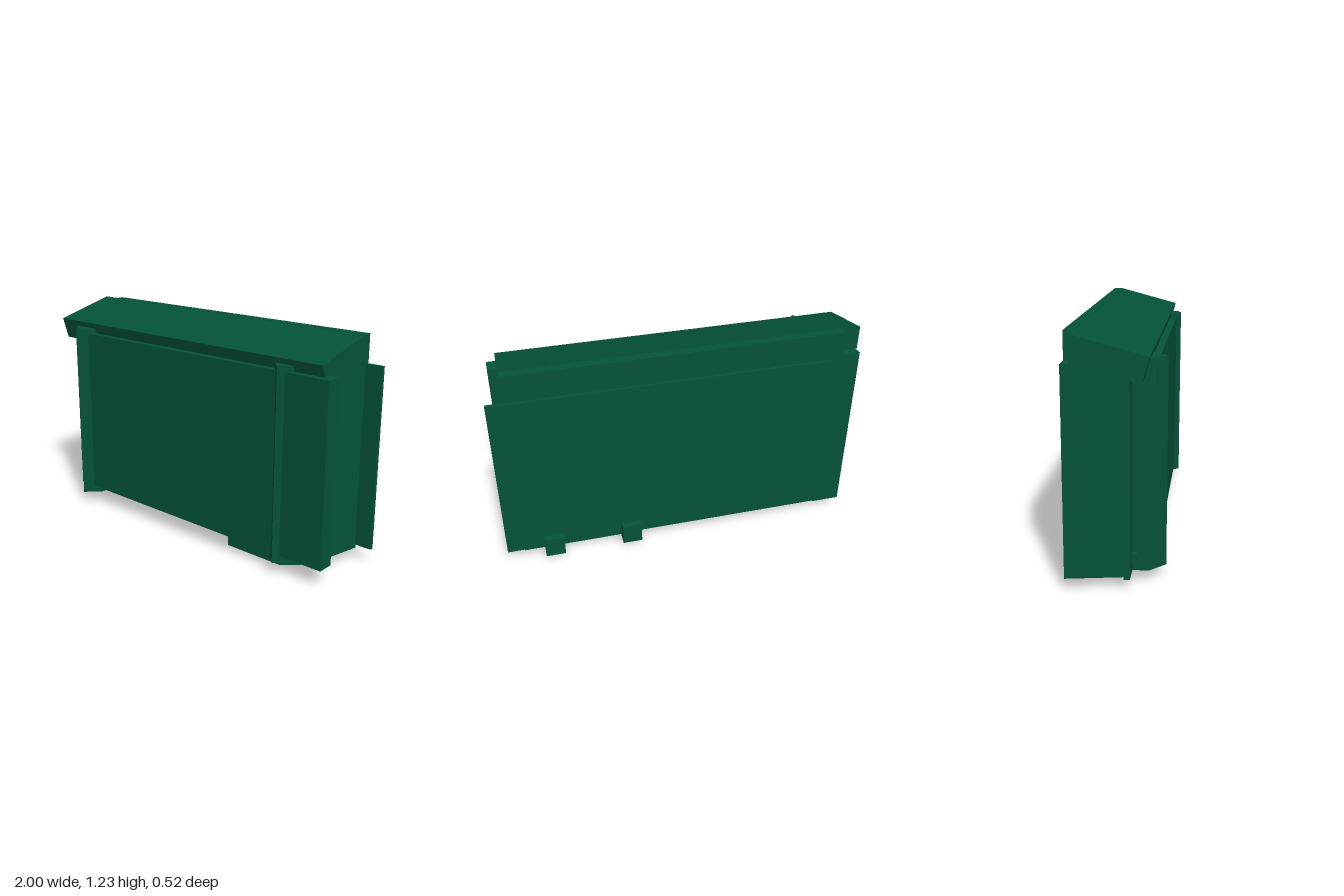
import * as THREE from 'three';

export function createModel() {
  const root = new THREE.Group();
  const green = new THREE.MeshStandardMaterial({ color: 0x04523a });
  green.name = 'darkGreen';

  const add = (name, geo) => {
    const mesh = new THREE.Mesh(geo, green);
    mesh.name = name;
    root.add(mesh);
    return mesh;
  };
  // Box from its limits on each axis
  const box = (name, x0, x1, y0, y1, z0, z1) =>
    add(name, new THREE.BoxGeometry(x1 - x0, y1 - y0, z1 - z0)
      .translate((x0 + x1) / 2, (y0 + y1) / 2, (z0 + z1) / 2));
  // Upright prism from a plan outline of [x, z] points
  const toShape = (pts) => new THREE.Shape(pts.map(([x, z]) => new THREE.Vector2(x, -z)));
  const upright = (name, pts, y0, y1, hole) => {
    const shape = toShape(pts);
    if (hole) shape.holes.push(toShape(hole));
    const geo = new THREE.ExtrudeGeometry(shape, { depth: y1 - y0, bevelEnabled: false });
    return add(name, geo.rotateX(-Math.PI / 2).translate(0, y0, 0));
  };
  // Long prism along x from a side profile of [z, y] points
  const lengthwise = (name, pts, x0, x1) => {
    const shape = new THREE.Shape(pts.map(([z, y]) => new THREE.Vector2(-z, y)));
    const geo = new THREE.ExtrudeGeometry(shape, { depth: x1 - x0, bevelEnabled: false });
    return add(name, geo.rotateY(Math.PI / 2).translate(x0, 0, 0));
  };

  // Body core between two tapering end columns that reach lower
  box('bodyCore', -0.84, 0.72, 0.1, 1.09, -0.21, 0.14);
  upright('rightEndColumn', [[-0.84, -0.21], [-1, -0.21], [-0.95, 0.08], [-0.84, 0.08]], 0.06, 1.09);
  upright('leftEndColumn', [[0.72, -0.21], [0.905, -0.21], [0.85, 0.065], [0.83, 0.1], [0.83, 0.14], [0.72, 0.14]], 0.06, 1.09);
  // Flange beside the front panel
  box('rightFlange', -0.98, -0.84, 0.06, 1.06, 0.07, 0.1);

  // Front and back panels
  box('frontPanel', -0.855, 0.965, 0.1, 1.07, 0.12, 0.21);
  box('backPanel', -0.83, 1, 0.08, 1.07, -0.225, -0.205);

  // Pointed front pillars
  for (const [name, x, tip, half] of [['rightPillar', -0.79, 0.258, 0.08], ['leftPillar', 0.685, 0.237, 0.057]]) {
    const shoulder = tip - half;
    upright(name, [[x - half, 0.06], [x - half, shoulder], [x, tip], [x + half, shoulder], [x + half, 0.06]], 0.06, 1.1);
  }

  // Sloping roof with its back ridge
  lengthwise('roof', [[0.19, 1.13], [-0.17, 1.225], [-0.17, 1.09], [0.155, 1.01]], -1, 0.915);
  box('roofRidge', -0.9, 0.915, 1.07, 1.225, -0.212, -0.165);

  // Tapered rail under the body
  lengthwise('underRail', [[0.08, 0.102], [-0.08, 0.04], [-0.14, 0.04], [-0.19, 0.102]], -0.915, 0.26);

  // Angular socket below, with a foot
  upright('socketRing',
    [[0.22, 0.04], [0.33, 0.17], [0.69, 0.17], [0.8, 0.06], [0.8, -0.14], [0.76, -0.175], [0.28, -0.175], [0.22, -0.12]],
    0.025, 0.102,
    [[0.3, 0.03], [0.37, 0.11], [0.65, 0.11], [0.73, 0.03], [0.73, -0.1], [0.69, -0.13], [0.34, -0.13], [0.3, -0.1]]);
  box('foot', 0.445, 0.585, 0, 0.102, 0.08, 0.12);
  box('footStem', 0.48, 0.55, 0, 0.102, -0.02, 0.09);

  // Clips behind and a small knob on the flange
  for (const x of [0.235, 0.68]) box('backClip', x, x + 0.11, 0.035, 0.155, -0.262, -0.17);
  box('knob', -0.92, -0.89, 0.12, 0.165, 0.09, 0.125);

  return root;
}
